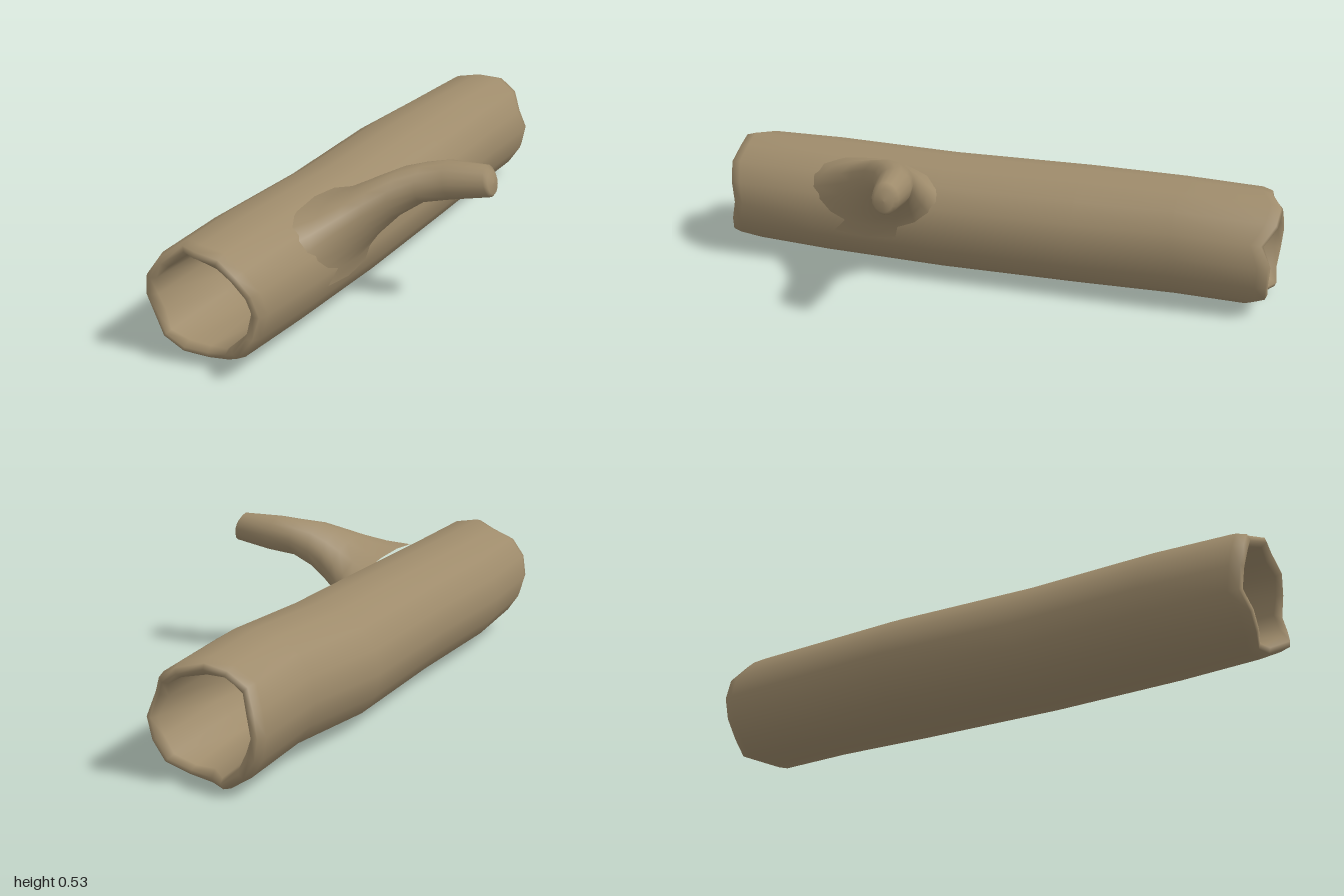
import * as THREE from 'three';

const SIDES = 16;

// Skin a list of equal-length rings; optionally join the last ring to the first
function loft(rings, wrap) {
  const n = rings[0].length, index = [];
  const last = wrap ? rings.length : rings.length - 1;
  for (let i = 0; i < last; i++) {
    const k = (i + 1) % rings.length;
    for (let j = 0; j < n; j++) {
      const a = i * n + j, b = i * n + (j + 1) % n;
      const c = k * n + (j + 1) % n, d = k * n + j;
      index.push(a, b, c, a, c, d);
    }
  }
  const g = new THREE.BufferGeometry();
  g.setAttribute('position', new THREE.Float32BufferAttribute(rings.flat(2), 3));
  g.setIndex(index);
  g.computeVertexNormals();
  return g;
}

// Broken ends: z of the rim at each side, counter-clockwise from +x
const FRONT = [0.96, 0.975, 0.99, 0.985, 0.995, 0.95, 0.99, 0.995, 0.985, 0.97, 0.985, 0.975, 0.95, 0.955, 1.0, 0.98];
const BACK = [-0.985, -0.955, -0.995, -1.0, -0.96, -0.95, -0.94, -0.975, -0.98, -0.975, -0.97, -0.98, -0.925, -0.935, -0.975, -0.98];

// Trunk stations: z, left edge, right edge, bottom, top
const TRUNK = [
  [-0.97, -0.41, 0.0, 0.0, 0.41],
  [-0.65, -0.4, 0.015, 0.012, 0.42],
  [-0.3, -0.434, 0.02, 0.0, 0.412],
  [0.2, -0.41, 0.03, 0.0, 0.41],
  [0.65, -0.415, 0.03, 0.005, 0.415],
  [0.98, -0.395, 0.032, 0.018, 0.418],
];

// One trunk ring, shrunk by inset; jagged ends override z
function trunkRing([z, x0, x1, y0, y1], inset, ends, pull) {
  return Array.from({ length: SIDES }, (_, j) => {
    const t = j / SIDES * Math.PI * 2;
    const wobble = inset > 0.03 ? 0.006 * Math.sin(j * 2.3 + z * 4) : 0;
    const x = (x0 + x1) / 2 + ((x1 - x0) / 2 - inset + wobble) * Math.cos(t);
    const y = (y0 + y1) / 2 + ((y1 - y0) / 2 - inset + wobble) * Math.sin(t);
    return [x, y, ends ? ends[j] - Math.sign(z) * pull : z];
  });
}

function trunkGeometry() {
  const first = TRUNK[0], last = TRUNK[TRUNK.length - 1], middle = TRUNK.slice(1, -1);
  return loft([
    // outer bark, back to front
    trunkRing(first, 0.002, BACK, 0.04),
    ...middle.map((s) => trunkRing(s, 0, null, 0)),
    trunkRing(last, 0.002, FRONT, 0.04),
    // rounded front rim
    trunkRing(last, 0.012, FRONT, 0.006),
    trunkRing(last, 0.03, FRONT, 0),
    trunkRing(last, 0.046, FRONT, 0.02),
    // hollow, front to back
    ...middle.slice().reverse().map((s) => trunkRing(s, 0.055, null, 0)),
    // rounded back rim
    trunkRing(first, 0.046, BACK, 0.02),
    trunkRing(first, 0.03, BACK, 0),
    trunkRing(first, 0.012, BACK, 0.006),
  ], true);
}

// Branch sections: top x, top y, bottom x, bottom y, back z, front z
const BRANCH = [
  [-0.1, 0.405, 0.025, 0.15, 0.15, 0.74],
  [-0.03, 0.422, 0.035, 0.2, 0.19, 0.64],
  [0.03, 0.45, 0.06, 0.245, 0.205, 0.54],
  [0.08, 0.475, 0.095, 0.288, 0.21, 0.47],
  [0.14, 0.502, 0.137, 0.335, 0.205, 0.4],
  [0.2, 0.515, 0.21, 0.385, 0.188, 0.335],
  [0.27, 0.527, 0.3, 0.4, 0.166, 0.292],
  [0.4, 0.527, 0.425, 0.424, 0.16, 0.255],
  [0.416, 0.51, 0.432, 0.435, 0.175, 0.243],
  [0.428, 0.472, 0.428, 0.472, 0.208, 0.208],
];

function branchGeometry() {
  return loft(BRANCH.map(([tx, ty, bx, by, z0, z1]) =>
    Array.from({ length: SIDES }, (_, j) => {
      const t = j / SIDES * Math.PI * 2, c = Math.cos(t) / 2;
      return [
        (tx + bx) / 2 + (tx - bx) * c,
        (ty + by) / 2 + (ty - by) * c,
        (z0 + z1) / 2 + (z1 - z0) / 2 * Math.sin(t),
      ];
    })), false);
}

export function createModel() {
  const bark = new THREE.MeshStandardMaterial({ color: 0x9e8b6b });
  bark.name = 'bark';
  const group = new THREE.Group();
  group.name = 'hollowLog';
  const trunk = new THREE.Mesh(trunkGeometry(), bark);
  trunk.name = 'hollowTrunk';
  const branch = new THREE.Mesh(branchGeometry(), bark);
  branch.name = 'sideBranch';
  group.add(trunk, branch);
  return group;
}
